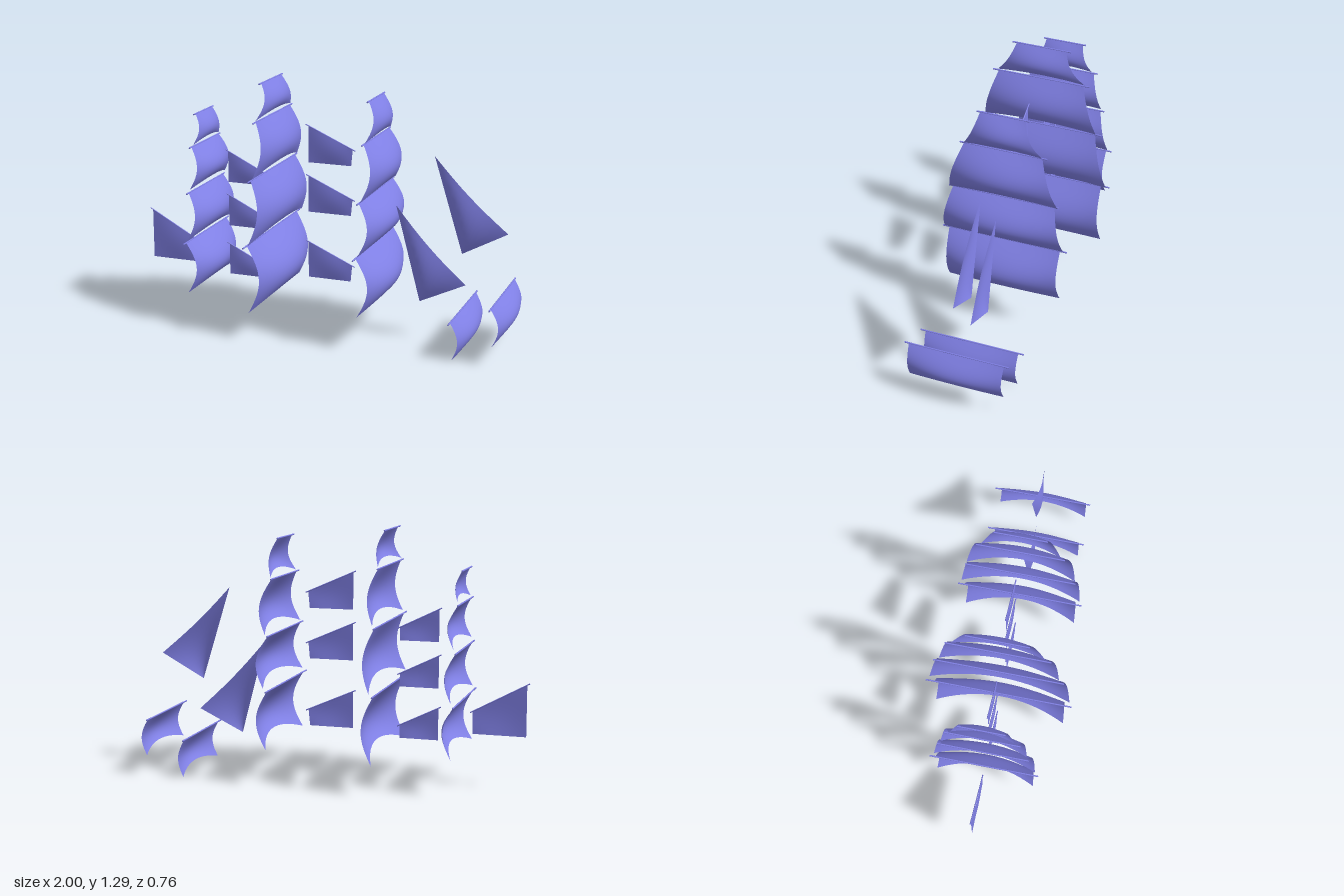
import * as THREE from 'three';

const canvas = new THREE.MeshStandardMaterial({ color: 0x8080e6, side: THREE.DoubleSide });
canvas.name = 'sail blue';

// Smooth sheet from a rule (u, v in 0..1) -> [x, y, z]
function sheet(name, rule, nu, nv) {
  const pos = [], index = [];
  for (let j = 0; j <= nv; j++) {
    for (let i = 0; i <= nu; i++) pos.push(...rule(i / nu, j / nv));
  }
  for (let j = 0; j < nv; j++) {
    for (let i = 0; i < nu; i++) {
      const a = j * (nu + 1) + i, b = a + nu + 1;
      index.push(a, b, a + 1, a + 1, b, b + 1);
    }
  }
  const geo = new THREE.BufferGeometry();
  geo.setAttribute('position', new THREE.Float32BufferAttribute(pos, 3));
  geo.setIndex(index);
  geo.computeVertexNormals();
  const mesh = new THREE.Mesh(geo, canvas);
  mesh.name = name;
  return mesh;
}

// Thin round spar between two points
function spar(name, from, to, radius = 0.004) {
  const a = new THREE.Vector3(...from), b = new THREE.Vector3(...to);
  const mesh = new THREE.Mesh(new THREE.CylinderGeometry(radius, radius, a.distanceTo(b), 8), canvas);
  mesh.position.copy(a).add(b).multiplyScalar(0.5);
  mesh.quaternion.setFromUnitVectors(new THREE.Vector3(0, 1, 0), b.sub(a).normalize());
  mesh.name = name;
  return mesh;
}

// Square sail billowing toward +x, hung from a yard
function squareSail(name, { x, top, foot, wTop, wFoot, yard, depth, bow = 0 }) {
  const group = new THREE.Group();
  group.name = name;
  const h = top - foot;
  group.add(sheet('sailCloth', (u, v) => {
    const s = 2 * u - 1, mid = 1 - s * s;
    const half = wTop + (wFoot - wTop) * v + bow * Math.sin(Math.PI * v);
    const centre = depth * Math.sin(Math.PI * 0.78 * v);
    const leech = depth * 0.52 * Math.sin(Math.PI * v) + 0.008 * v;
    return [
      x + leech + (centre - leech) * mid,
      top - h * v + 0.17 * h * mid * v * v,
      s * half,
    ];
  }, 20, 14));
  group.add(spar('yard', [x - 0.003, top, -yard], [x - 0.003, top, yard]));
  return group;
}

// Fore-and-aft sail: corners p0 -> p1 along the top, p3 -> p2 along the foot
function staySail(name, [p0, p1, p2, p3], belly, hollow = 0) {
  return sheet(name, (u, v) => {
    const mix = (k) => (p0[k] * (1 - u) + p1[k] * u) * (1 - v) + (p3[k] * (1 - u) + p2[k] * u) * v;
    const sag = hollow * Math.sin(Math.PI * u) * (1 - v);
    return [mix(0) - sag, mix(1) - sag, belly * Math.sin(Math.PI * u) * Math.sin(Math.PI * (0.15 + 0.85 * v))];
  }, 12, 10);
}

export function createModel() {
  const model = new THREE.Group();
  model.name = 'shipSails';

  // Per sail: x, top, foot, top half width, foot half width, yard half length, depth, side bow
  const masts = {
    mizzen: [
      [-0.672, 1.10, 0.95, 0.10, 0.155, 0.115, 0.044, -0.008],
      [-0.668, 0.94, 0.73, 0.165, 0.215, 0.185, 0.073, 0.005],
      [-0.668, 0.71, 0.47, 0.21, 0.26, 0.23, 0.08, 0.005],
      [-0.67, 0.455, 0.19, 0.25, 0.255, 0.28, 0.096, -0.006],
    ],
    main: [
      [-0.293, 1.29, 1.12, 0.13, 0.23, 0.153, 0.052, -0.012],
      [-0.285, 1.112, 0.84, 0.225, 0.30, 0.257, 0.075, 0.006],
      [-0.286, 0.83, 0.515, 0.295, 0.365, 0.327, 0.086, 0.004],
      [-0.294, 0.505, 0.157, 0.335, 0.345, 0.38, 0.114, -0.004],
    ],
    fore: [
      [0.266, 1.236, 1.045, 0.115, 0.20, 0.132, 0.059, -0.01],
      [0.27, 1.04, 0.768, 0.20, 0.28, 0.222, 0.088, 0.008],
      [0.27, 0.762, 0.505, 0.265, 0.315, 0.286, 0.093, 0.005],
      [0.265, 0.49, 0.19, 0.295, 0.30, 0.33, 0.108, -0.004],
    ],
    bowsprit: [
      [0.935, 0.295, 0.105, 0.243, 0.243, 0.266, 0.065, -0.003],
      [0.735, 0.20, 0.005, 0.243, 0.243, 0.27, 0.063, -0.003],
    ],
  };
  for (const [mast, sails] of Object.entries(masts)) {
    sails.forEach(([x, top, foot, wTop, wFoot, yard, depth, bow], i) => {
      model.add(squareSail(`${mast}SquareSail${i + 1}`, { x, top, foot, wTop, wFoot, yard, depth, bow }));
    });
  }

  // Four-sided sails between the masts and at the stern: x0, x1, y0, y1, foot, foot inset
  const quads = [
    ['spanker', -0.985, -0.715, 0.537, 0.39, 0.275, 0],
    ...[0.895, 0.66, 0.395].map((y) => ['aftStaysail', -0.54, -0.34, y, y - 0.098, y - 0.165, 0]),
    ...[1.065, 0.805, 0.455].map((y) => ['middleStaysail', -0.095, 0.143, y, y - 0.105, y - 0.19, 0.008]),
  ];
  for (const [name, x0, x1, y0, y1, foot, inset] of quads) {
    model.add(staySail(name, [[x0, y0], [x1, y1], [x1 - inset, foot], [x0, foot]], 0.008));
    const slope = (y1 - y0) / (x1 - x0), e = 0.013;
    model.add(spar(name + 'Spar', [x0 - e, y0 - slope * e, 0], [x1 + e, y1 + slope * e, 0], 0.003));
  }

  // Triangular jibs toward the bow
  const jibs = [
    [[0.57, 0.965], [0.95, 0.605], [0.72, 0.48]],
    [[0.375, 0.695], [0.742, 0.318], [0.505, 0.205]],
  ];
  jibs.forEach(([head, tack, clew], i) => {
    model.add(staySail('jib' + (i + 1), [head, tack, clew, clew], 0.027, 0.006));
  });
  return model;
}
